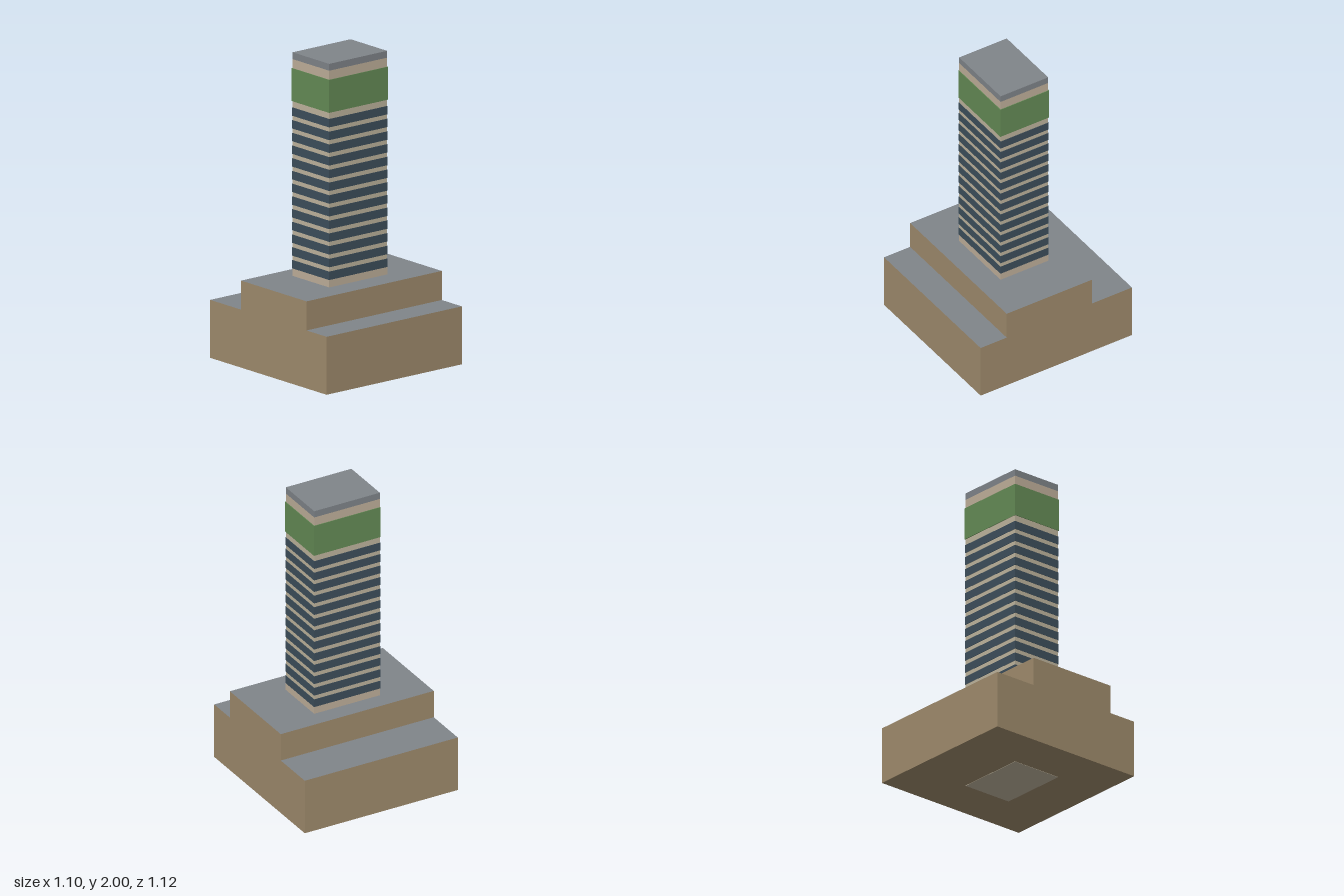
import * as THREE from 'three';

const mat = (name, color) => Object.assign(new THREE.MeshStandardMaterial({ color }), { name });

export function createModel() {
  const stone = mat('podium stone', 0xa08c6d);
  const roofGrey = mat('roof grey', 0x80858a);
  const wall = mat('tower wall', 0xbfb59e);
  const trim = mat('tower trim', 0xc0b09b);
  const glass = mat('window glass', 0x3d4f5c);
  const green = mat('green band', 0x658c56);

  const model = new THREE.Group();

  // Box given by its width, depth, bottom, top and centre
  function block(name, material, w, d, y0, y1, x = 0, z = 0, parent = model) {
    const mesh = new THREE.Mesh(new THREE.BoxGeometry(w, y1 - y0, d), material);
    mesh.name = name;
    mesh.position.set(x, (y0 + y1) / 2, z);
    parent.add(mesh);
    return mesh;
  }

  // Stepped podium with grey roofs (the top is the third face group)
  const stoneWithRoof = [stone, stone, roofGrey, stone, stone, stone];
  block('lowerPodium', stoneWithRoof, 1.096, 1.12, 0.002, 0.375);
  block('upperPodium', stoneWithRoof, 1.096, 0.63, 0.375, 0.562, 0, 0.052);

  // Tower, with its core reaching the ground
  const tower = new THREE.Group();
  tower.name = 'tower';
  tower.position.set(0.003, 0, 0.034);
  model.add(tower);
  const W = 0.47, D = 0.352;
  const tier = (name, material, y0, y1, out = 0) =>
    block(name, material, W + 2 * out, D + 2 * out, y0, y1, 0, 0, tower);

  tier('towerCore', wall, 0, 1.69);
  tier('towerFoot', trim, 0.562, 0.61, 0.001);
  tier('greenBand', green, 1.686, 1.898, 0.004);
  tier('towerCrown', trim, 1.89, 1.956);
  tier('roofCap', roofGrey, 1.956, 2);

  // Ribbon windows around every storey
  for (let i = 0; i < 13; i++) {
    const y = 0.61 + i * 0.0818;
    tier('windowBand' + (i + 1), glass, y, y + 0.054, 0.002);
  }
  return model;
}
